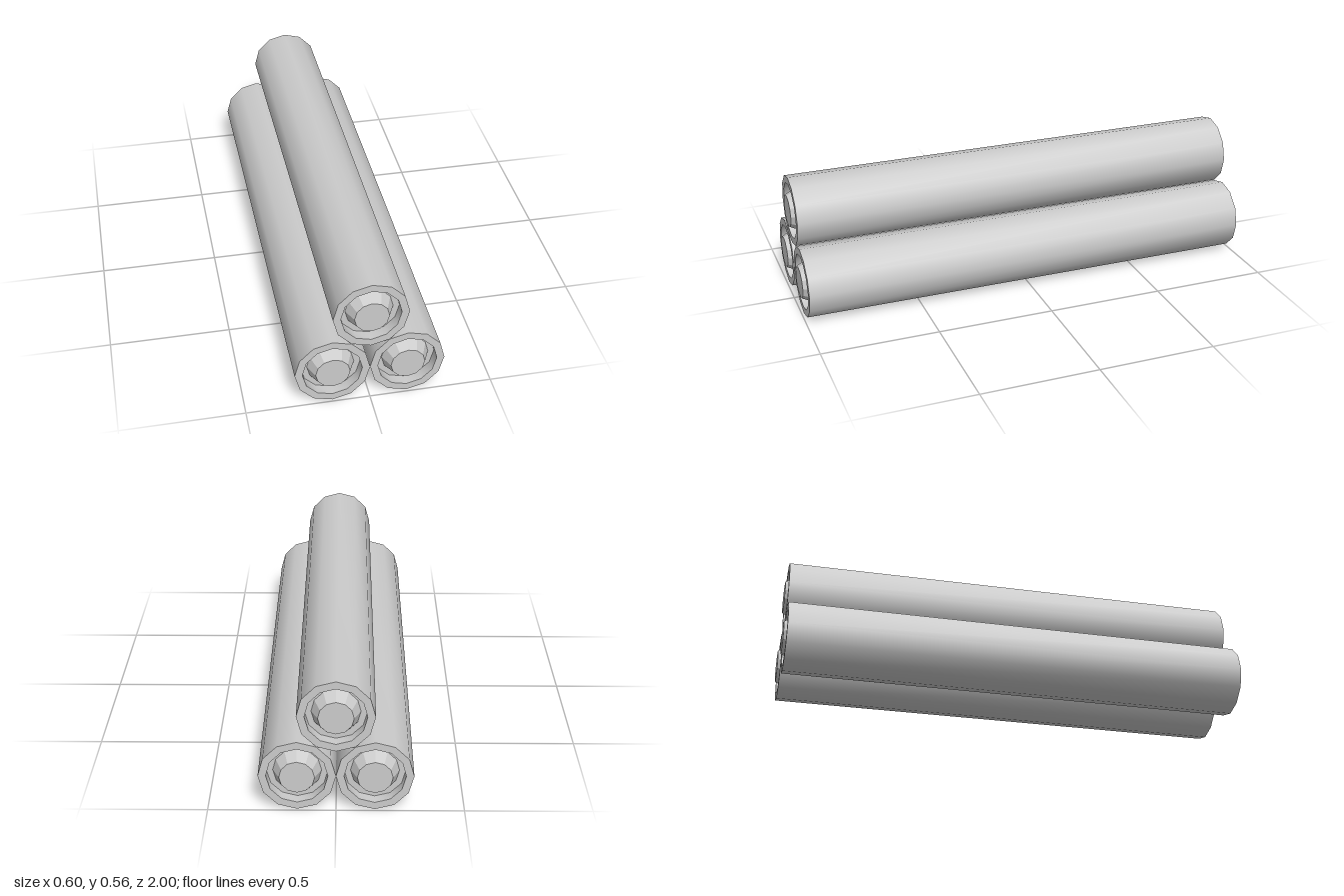
import * as THREE from 'three';
import { toCreasedNormals } from 'three/addons/utils/BufferGeometryUtils.js';

const SIDES = 12;
const RADIUS = 0.151;     // outer radius of one tube
const RIM = 0.12;         // inner radius of the end rim
const HALF = 0.99;        // half length of the casing
const FLOOR = 0.945;      // depth of the recessed end
const TIP = 1;            // outer face of the end caps

export function createModel() {
  const group = new THREE.Group();
  group.name = 'tubeBundle';
  const grey = new THREE.MeshStandardMaterial({ color: 0xcccccc });
  const faceted = new THREE.MeshStandardMaterial({ color: 0xcccccc, flatShading: true });

  // Casing: outer wall, rims and recessed floors in one profile
  const profile = [
    [0.04, -FLOOR], [RIM, -FLOOR], [RIM, -HALF], [RADIUS, -HALF],
    [RADIUS, HALF], [RIM, HALF], [RIM, FLOOR], [0.04, FLOOR],
  ].map(([r, y]) => new THREE.Vector2(r, y));
  const casingGeometry = toCreasedNormals(new THREE.LatheGeometry(profile, SIDES), 0.7);
  casingGeometry.rotateX(Math.PI / 2);

  // Tapered end cap standing in each recess
  const capGeometry = new THREE.CylinderGeometry(0.069, 0.095, TIP - FLOOR, SIDES);
  capGeometry.rotateX(Math.PI / 2);
  capGeometry.translate(0, 0, (TIP + FLOOR) / 2);

  function addTube(name, x, y) {
    const tube = new THREE.Group();
    tube.name = name;
    tube.position.set(x, y, 0);
    const casing = new THREE.Mesh(casingGeometry, grey);
    casing.name = 'casing';
    const frontCap = new THREE.Mesh(capGeometry, faceted);
    frontCap.name = 'frontCap';
    const backCap = new THREE.Mesh(capGeometry, faceted);
    backCap.name = 'backCap';
    backCap.rotation.y = Math.PI;
    tube.add(casing, frontCap, backCap);
    group.add(tube);
  }

  // Two tubes side by side, one resting on top
  addTube('leftTube', RADIUS, RADIUS);
  addTube('rightTube', -RADIUS, RADIUS);
  addTube('topTube', 0, 0.414);

  return group;
}
